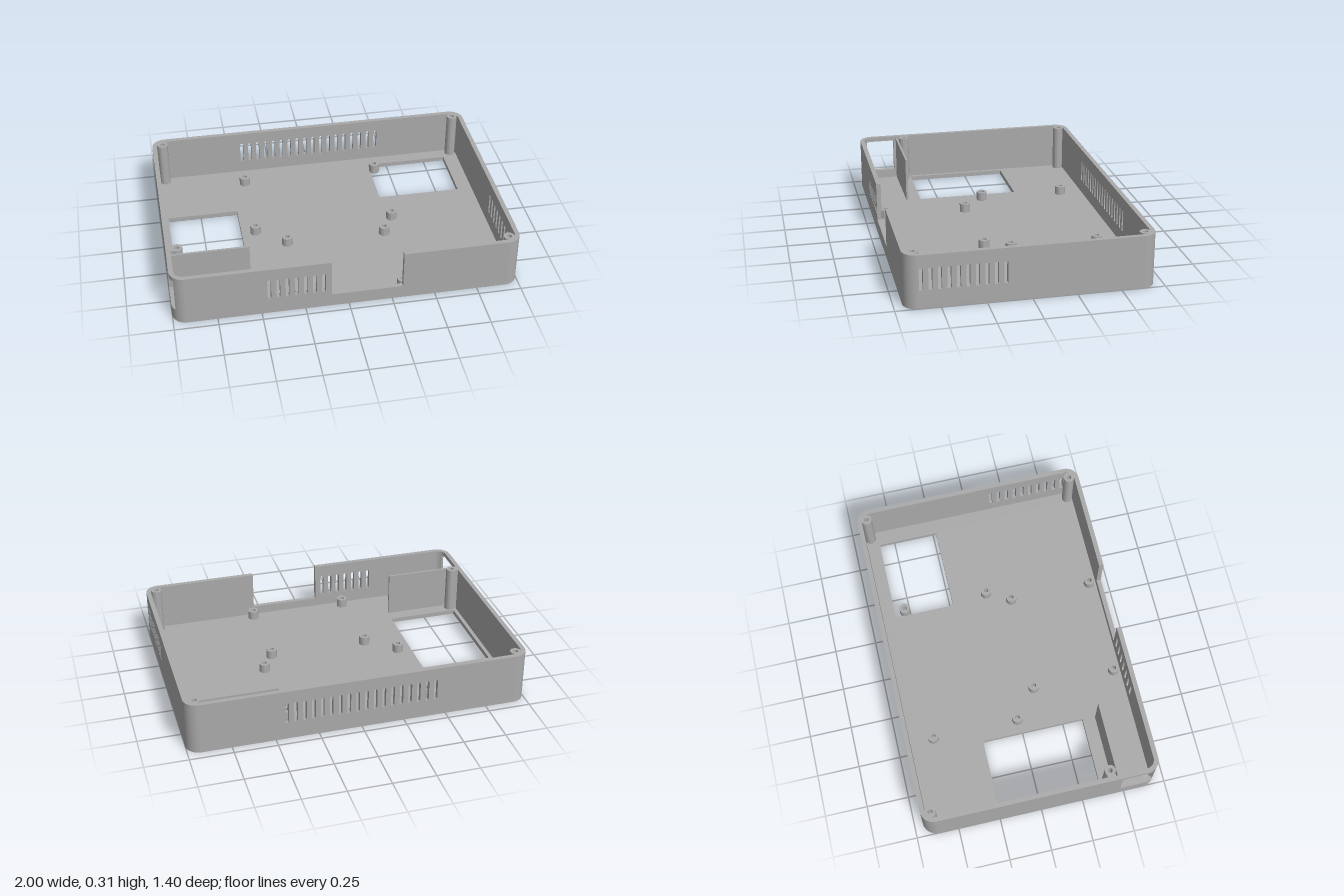
import * as THREE from 'three';
import { toCreasedNormals } from 'three/addons/utils/BufferGeometryUtils.js';

const W = 1, D = 0.7, H = 0.31, T = 0.027, R = 0.08, FLOOR = 0.027;
const CX = W - R, CZ = D - R;

export function createModel() {
  const model = new THREE.Group();
  model.name = 'enclosureBase';
  const plastic = new THREE.MeshStandardMaterial({ color: 0xaaaaaa });
  plastic.name = 'grey plastic';

  const add = (geometry, name) => {
    const mesh = new THREE.Mesh(toCreasedNormals(geometry, 0.6), plastic);
    mesh.name = name;
    model.add(mesh);
    return mesh;
  };
  const extrude = (shape, depth) =>
    new THREE.ExtrudeGeometry(shape, { depth, bevelEnabled: false, curveSegments: 16 });
  // Plan shapes use (x, -z) and are extruded upward.
  const slab = (shape, y0, y1, name) =>
    add(extrude(shape, y1 - y0).rotateX(-Math.PI / 2).translate(0, y0, 0), name);
  const polygon = (pts) => new THREE.Shape(pts.map(([x, y]) => new THREE.Vector2(x, y)));
  const rectHole = (x0, x1, y0, y1) =>
    new THREE.Path([[x0, y0], [x1, y0], [x1, y1], [x0, y1]].map(([x, y]) => new THREE.Vector2(x, y)));
  const circleHole = (x, y, r) => new THREE.Path().absarc(x, y, r, 0, Math.PI * 2, true);
  const roundSlot = (x, y0, y1, r) => {
    const p = new THREE.Path();
    p.absarc(x, y1 - r, r, 0, Math.PI, false);
    p.absarc(x, y0 + r, r, Math.PI, Math.PI * 2, false);
    p.closePath();
    return p;
  };

  // Floor with two windows and the screw holes
  const floor = new THREE.Shape();
  floor.absarc(CX, CZ, R, 0, Math.PI / 2, false);
  floor.absarc(-CX, CZ, R, Math.PI / 2, Math.PI, false);
  floor.absarc(-CX, -CZ, R, Math.PI, Math.PI * 1.5, false);
  floor.absarc(CX, -CZ, R, Math.PI * 1.5, Math.PI * 2, false);
  floor.closePath();
  floor.holes.push(rectHole(-0.95, -0.525, -0.37, 0.245), rectHole(0.375, 0.883, 0.23, 0.595));
  const screwX = 0.936, screwZ = 0.642;
  for (const sx of [-1, 1]) for (const sz of [-1, 1]) {
    const open = sx < 0 && sz > 0;
    floor.holes.push(circleHole(sx * screwX, -sz * screwZ, open ? 0.025 : 0.017));
  }
  slab(floor, 0, FLOOR, 'floor');

  // Front wall with a notch open to the top, and vents
  const front = polygon([[-CX, FLOOR], [CX, FLOOR], [CX, H], [0.312, H], [0.312, 0.08],
    [-0.1, 0.08], [-0.1, H], [-CX, H]]);
  for (let i = 0; i < 7; i++) front.holes.push(roundSlot(-0.455 + i * 0.0515, 0.105, 0.235, 0.0105));
  add(extrude(front, T).translate(0, 0, D - T), 'frontWall');

  // Back wall with a long row of vents
  const back = polygon([[-CX, FLOOR], [CX, FLOOR], [CX, H], [-CX, H]]);
  for (let i = 0; i < 18; i++) back.holes.push(roundSlot((i - 8.5) * 0.0512, 0.105, 0.235, 0.0105));
  add(extrude(back, T).translate(0, 0, -D), 'backWall');

  // Side walls are drawn as (-z, y)
  const ventSide = polygon([[-CZ, FLOOR], [CZ, FLOOR], [CZ, H], [-CZ, H]]);
  for (let i = 0; i < 10; i++) {
    const u = -0.607 + i * 0.051;
    ventSide.holes.push(rectHole(u - 0.011, u + 0.011, 0.107, 0.233));
  }
  add(extrude(ventSide, T).rotateY(Math.PI / 2).translate(W - T, 0, 0), 'ventedSideWall');

  const portLow = 0.08, portHigh = 0.283;
  const portSide = polygon([[-CZ, FLOOR], [CZ, FLOOR], [CZ, H], [-CZ, H],
    [-CZ, portHigh], [-0.475, portHigh], [-0.475, portLow], [-CZ, portLow]]);
  add(extrude(portSide, T).rotateY(Math.PI / 2).translate(-W, 0, 0), 'portSideWall');

  // Rounded corners; the front corner beside the port is cut in its middle band
  const corner = (sx, sz, a0, a1, y0, y1) => {
    const s = new THREE.Shape();
    s.absarc(sx * CX, -sz * CZ, R, a0, a1, false);
    s.absarc(sx * CX, -sz * CZ, R - T, a1, a0, true);
    s.closePath();
    slab(s, y0, y1, 'cornerWall');
  };
  const q = Math.PI / 2;
  corner(1, -1, 0, q, FLOOR, H);
  corner(-1, -1, q, 2 * q, FLOOR, H);
  corner(1, 1, 3 * q, 4 * q, FLOOR, H);
  corner(-1, 1, 2 * q, 3 * q, FLOOR, portLow);
  corner(-1, 1, 2 * q + 0.72, 3 * q, portLow, portHigh);
  corner(-1, 1, 2 * q, 3 * q, portHigh, H);

  // Turned posts
  const lathe = (pts, x, z, name) =>
    add(new THREE.LatheGeometry(pts.map(([r, y]) => new THREE.Vector2(r, y)), 28), name)
      .position.set(x, 0, z);
  const screwPost = (x, z) => lathe([[0, 0.15], [0.017, 0.15], [0.017, 0.01], [0.032, 0.01],
    [0.032, H], [0.014, H], [0.014, 0.22], [0, 0.22]], x, z, 'screwPost');
  screwPost(screwX, screwZ);
  screwPost(screwX, -screwZ);
  screwPost(-screwX, -screwZ);
  screwPost(-screwX, 0.412);
  // Web joining the inner post to the side wall
  add(new THREE.BoxGeometry(0.03, H - FLOOR, 0.05)
    .translate(-0.965, (H + FLOOR) / 2, 0.412), 'postWeb');

  // Board standoffs
  const standoffs = [[-0.44, -0.53], [0.403, -0.53], [-0.44, -0.013], [0.403, -0.013],
    [-0.267, 0.13], [0.326, 0.13], [-0.267, 0.63], [0.326, 0.63]];
  for (const [x, z] of standoffs) {
    lathe([[0.014, 0.02], [0.032, 0.02], [0.032, 0.08], [0.014, 0.08], [0.014, 0.02]], x, z, 'standoff');
  }

  // Inner divider
  add(new THREE.BoxGeometry(0.445, 0.27, 0.013)
    .translate(-0.7525, 0.16, 0.454), 'divider');

  return model;
}
